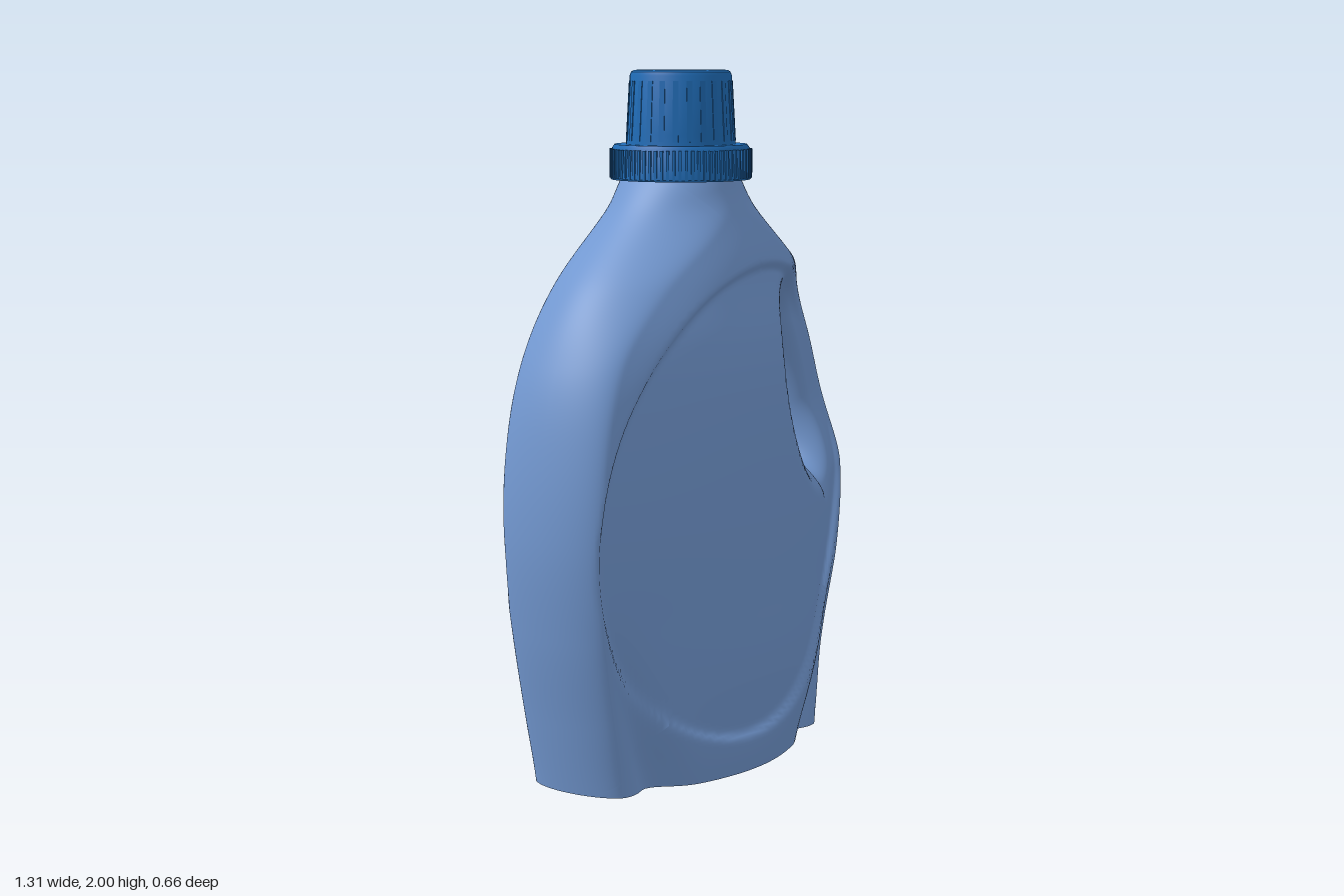
import * as THREE from 'three';
import { mergeVertices, toCreasedNormals } from 'three/addons/utils/BufferGeometryUtils.js';

const { smoothstep, lerp } = THREE.MathUtils;

// Smooth interpolation through [y, value] pairs
function curve(pts) {
  const slope = (i) => {
    const a = pts[Math.max(i - 1, 0)], b = pts[Math.min(i + 1, pts.length - 1)];
    return (b[1] - a[1]) / (b[0] - a[0]);
  };
  return (y) => {
    let i = 0;
    while (i < pts.length - 2 && y > pts[i + 1][0]) i++;
    const [y0, v0] = pts[i], [y1, v1] = pts[i + 1];
    const h = y1 - y0, t = (y - y0) / h, t2 = t * t, t3 = t2 * t;
    return v0 * (2 * t3 - 3 * t2 + 1) + slope(i) * h * (t3 - 2 * t2 + t)
      + v1 * (3 * t2 - 2 * t3) + slope(i + 1) * h * (t3 - t2);
  };
}

// Bottle proportions by height: half width, centre depth, side depth, side rounding
const TOP = 1.7;
const halfWidth = curve([[0, 0.54], [0.2, 0.582], [0.45, 0.63], [0.72, 0.655], [1, 0.635],
  [1.2, 0.582], [1.4, 0.465], [1.6, 0.255], [TOP, 0.17]]);
const centreDepth = curve([[0, 0.272], [0.1, 0.282], [0.3, 0.31], [0.5, 0.32], [0.8, 0.328],
  [1.1, 0.32], [1.25, 0.298], [1.4, 0.25], [1.5, 0.222], [1.6, 0.195], [TOP, 0.168]]);
const sideDepth = curve([[0, 0.15], [0.4, 0.135], [0.8, 0.14], [1.2, 0.14], [1.45, 0.15],
  [1.6, 0.165], [TOP, 0.168]]);
const sideRound = curve([[0, 0.06], [0.6, 0.06], [1.2, 0.07], [1.4, 0.13], [1.6, 0.21], [TOP, 0.17]]);

// Tilted handle hole: axis coordinates across and along it
const HOLE = { x: 0.39, y: 1.055, across: 0.075, along: 0.23 };
function holeAxes(x, y) {
  const dx = x - HOLE.x, dy = y - HOLE.y;
  return [dx * 0.944 + dy * 0.33, -dx * 0.33 + dy * 0.944];
}
const holeValue = (x, y) => {
  const [a, b] = holeAxes(x, y);
  return Math.hypot(a / HOLE.across, b / HOLE.along);
};
const round = (d, r) => Math.sqrt(Math.max(0, 1 - Math.pow(Math.max(0, 1 - d / r), 2)));

// Half depth of the bottle at a point of its front outline
function depthAt(x, y) {
  const w = halfWidth(y), u = Math.min(1, Math.abs(x) / w);
  const side = sideDepth(y);
  let z = side + (centreDepth(y) - side) * Math.pow(1 - u * u, 1.5);
  // raised lip around the oval panel
  const v = (y - 0.78) / 0.67;
  const e = Math.hypot((x - 0.08 * v) / 0.6, v);
  z += 0.025 * smoothstep(e, 0.97, 1.02) * (1 - smoothstep(e, 1.02, 1.35));
  // flutes above the foot corners
  const f = (Math.abs(x) - 0.37 - 0.38 * y) / 0.06;
  z -= 0.05 * Math.exp(-f * f) * (1 - smoothstep(y, 0.05, 0.55));
  // finger recess around the hole
  const [a, b] = holeAxes(x, y);
  const q = Math.hypot(a / (a > 0 ? 0.42 : 0.29), (b - 0.05) / 0.38);
  z = lerp(z, 0.1, 1 - smoothstep(q, 0.42, 1));
  return z * round(w - Math.abs(x), sideRound(y)) * round((holeValue(x, y) - 1) * HOLE.across, 0.05);
}

// Outline, counter-clockwise: foot, left side, neck, right side
function makeOutline() {
  const pts = [], foot = 64, side = 100, neck = 30;
  for (let i = 0; i < foot; i++) pts.push([-halfWidth(0) * Math.cos(Math.PI * i / foot), 0]);
  for (let i = 0; i < side; i++) pts.push([halfWidth(TOP * i / side), TOP * i / side]);
  for (let i = 0; i < neck; i++) pts.push([halfWidth(TOP) * Math.cos(Math.PI * i / neck), TOP]);
  for (let i = side; i > 0; i--) pts.push([-halfWidth(TOP * i / side), TOP * i / side]);
  return { pts, foot };
}

function meshGeometry(positions, index) {
  const g = new THREE.BufferGeometry();
  g.setAttribute('position', new THREE.Float32BufferAttribute(positions, 3));
  g.setIndex(index);
  return g;
}

// Rings from the hole to the outline, mirrored front to back
function bodyGeometry(outline) {
  const rings = 90, n = outline.length, pos = [], idx = [];
  for (const s of [1, -1]) {
    const start = pos.length / 3;
    for (const [ox, oy] of outline) {
      const k = 1 / holeValue(ox, oy);
      for (let j = 0; j <= rings; j++) {
        const t = lerp(k, 1, (1 - Math.cos(Math.PI * j / rings)) / 2);
        const x = lerp(HOLE.x, ox, t), y = lerp(HOLE.y, oy, t);
        pos.push(x, y, j === 0 ? 0 : s * depthAt(x, y));
      }
    }
    for (let i = 0; i < n; i++) for (let j = 0; j < rings; j++) {
      const a = start + i * (rings + 1) + j, d = start + ((i + 1) % n) * (rings + 1) + j;
      if (s > 0) idx.push(a, a + 1, d + 1, a, d + 1, d);
      else idx.push(a, d + 1, a + 1, a, d, d + 1);
    }
  }
  const g = mergeVertices(meshGeometry(pos, idx), 1e-4);
  g.computeVertexNormals();
  return g;
}

// Flat underside joining the front and back foot edges
function baseGeometry(outline, foot) {
  const pos = [], idx = [];
  for (let i = 0; i <= foot; i++) {
    const [x, y] = outline[i], z = depthAt(x, y);
    pos.push(x, y, z, x, y, -z);
    if (i < foot) idx.push(2 * i, 2 * i + 1, 2 * i + 3, 2 * i, 2 * i + 3, 2 * i + 2);
  }
  const g = meshGeometry(pos, idx);
  g.computeVertexNormals();
  return g;
}

function lathe(profile, segments) {
  const g = new THREE.LatheGeometry(profile.map(([r, y]) => new THREE.Vector2(r, y)), segments);
  return toCreasedNormals(g, 0.6);
}

export function createModel() {
  const bottleBlue = new THREE.MeshStandardMaterial({ color: 0x7399d2 });
  bottleBlue.name = 'bottleBlue';
  const capBlue = new THREE.MeshStandardMaterial({ color: 0x1f6bb5 });
  capBlue.name = 'capBlue';

  const model = new THREE.Group();
  model.name = 'bottle';
  const add = (name, geometry, material, parent = model) => {
    const mesh = new THREE.Mesh(geometry, material);
    mesh.name = name;
    parent.add(mesh);
    return mesh;
  };

  const { pts, foot } = makeOutline();
  add('body', bodyGeometry(pts), bottleBlue);
  add('base', baseGeometry(pts, foot), bottleBlue);

  // Cap: ribbed collar and tapered measuring cup
  const cap = new THREE.Group();
  cap.name = 'cap';
  model.add(cap);
  add('collar', lathe([[0, 1.69], [0.2, 1.69], [0.203, 1.695], [0.197, 1.78], [0.19, 1.79], [0, 1.79]], 72),
    capBlue, cap);
  add('cup', lathe([[0.158, 1.785], [0.155, 1.82], [0.146, 1.985], [0.142, 1.995], [0.134, 2], [0, 2]], 48),
    capBlue, cap);

  const ribs = new THREE.Group();
  ribs.name = 'collarRibs';
  cap.add(ribs);
  const ribShape = new THREE.BoxGeometry(0.008, 0.082, 0.012);
  for (let i = 0; i < 72; i++) {
    const a = i / 72 * Math.PI * 2;
    const rib = add('rib', ribShape, capBlue, ribs);
    rib.position.set(Math.sin(a) * 0.199, 1.736, Math.cos(a) * 0.199);
    rib.rotation.y = a;
  }

  // Shallow grips on the cup
  const grips = new THREE.Group();
  grips.name = 'cupGrips';
  cap.add(grips);
  const gripShape = new THREE.BoxGeometry(0.016, 0.17, 0.006);
  for (let i = 0; i < 24; i++) {
    const a = i / 24 * Math.PI * 2;
    const grip = add('grip', gripShape, capBlue, grips);
    grip.position.set(Math.sin(a) * 0.15, 1.885, Math.cos(a) * 0.15);
    grip.rotation.set(-0.055, a, 0, 'YXZ');
  }
  return model;
}
